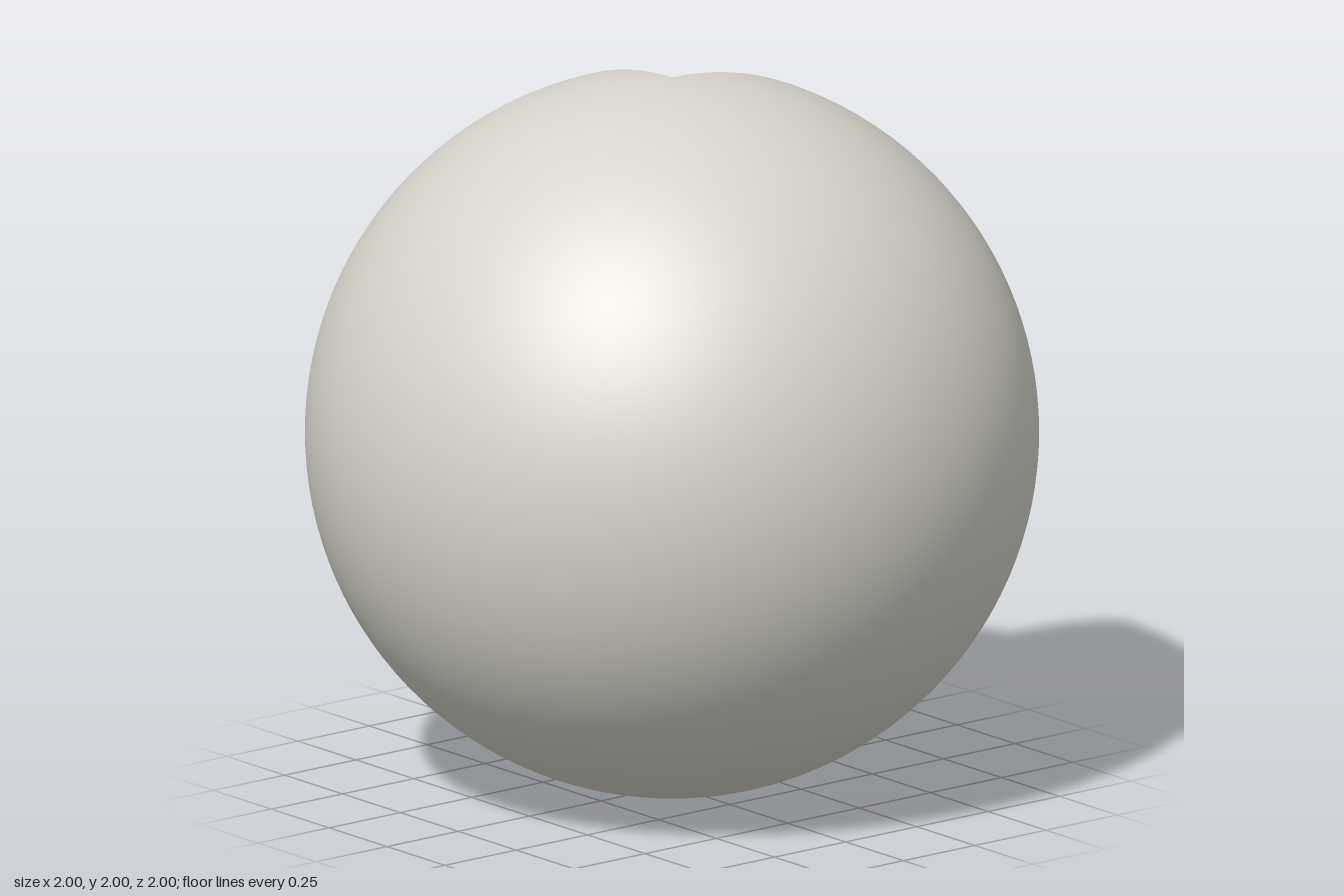
import * as THREE from 'three';

export function createModel() {
  const shellMat = new THREE.MeshStandardMaterial({ color: 0xd6d4ca });
  shellMat.name = 'warm grey';
  const cutMat = new THREE.MeshStandardMaterial({ color: 0x9aabdd });
  cutMat.name = 'cut blue';
  const lineMat = new THREE.MeshStandardMaterial({ color: 0x050505 });
  lineMat.name = 'line black';

  const model = new THREE.Group();
  model.name = 'cutawayBall';
  const add = (parent, name, geometry, material) => {
    const mesh = new THREE.Mesh(geometry, material);
    mesh.name = name;
    parent.add(mesh);
  };

  const ball = new THREE.Group();
  ball.name = 'ball';
  ball.position.y = 1;
  model.add(ball);

  // Outer skin: full lower half, three quarters of the upper half
  const H = Math.PI / 2;
  add(ball, 'lowerSkin', new THREE.SphereGeometry(1, 128, 32, 0, 4 * H, H, H), shellMat);
  add(ball, 'upperSkin', new THREE.SphereGeometry(1, 96, 32, 3 * H, 3 * H, 0, H), shellMat);

  // Quarter-disc cut wall: blue layers separated by thin black arcs
  const bands = [
    ['core', 0, 0.247, cutMat],
    ['coreLine', 0.247, 0.254, lineMat],
    ['middleLayer', 0.254, 0.711, cutMat],
    ['middleLine', 0.711, 0.718, lineMat],
    ['outerLayer', 0.718, 1, cutMat],
  ];
  function cutWall(name, start, rx, ry) {
    const wall = new THREE.Group();
    wall.name = name;
    wall.rotation.set(rx, ry, 0);
    for (const [part, inner, outer, material] of bands) {
      const geometry = inner === 0
        ? new THREE.CircleGeometry(outer, 32, start, H)
        : new THREE.RingGeometry(inner, outer, 32, 1, start, H);
      add(wall, part, geometry, material);
    }
    ball.add(wall);
  }
  cutWall('sideWall', 0, 0, H);
  cutWall('cutFloor', 0, -H, 0);
  cutWall('backWall', H, 0, Math.PI);

  return model;
}
